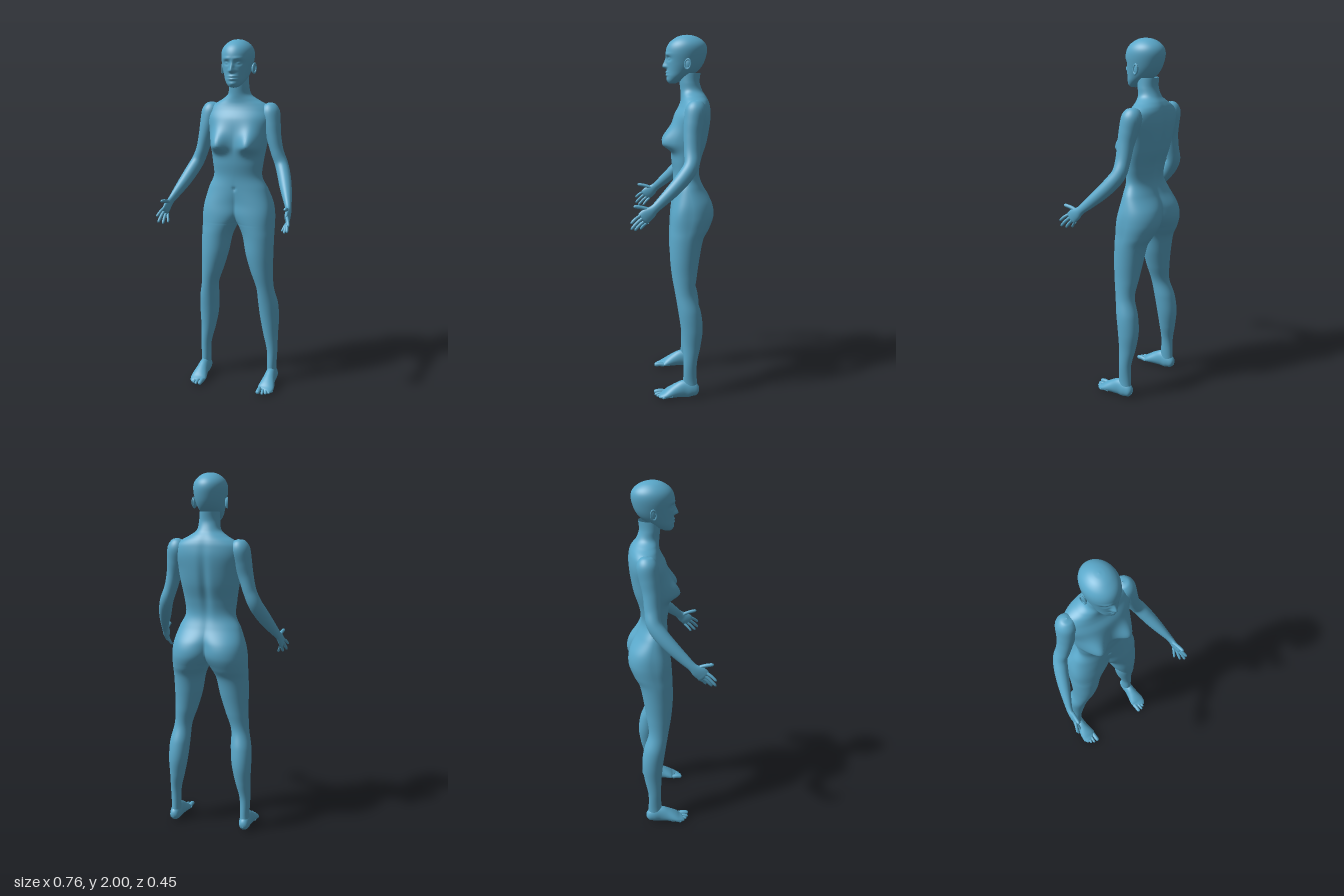
import * as THREE from 'three';

const skin = new THREE.MeshStandardMaterial({ color: 0x5aa8ca, side: THREE.DoubleSide });
skin.name = 'blue skin';

const gauss = (d, w) => Math.exp(-(d / w) * (d / w));

// Smoothly fill in cross-sections (arrays of equal length) between the given ones
function refine(sections, steps) {
  const out = [], last = sections.length - 1;
  for (let i = 0; i < last; i++) {
    const p0 = sections[Math.max(0, i - 1)], p1 = sections[i];
    const p2 = sections[i + 1], p3 = sections[Math.min(last, i + 2)];
    for (let k = 0; k < steps; k++) {
      const t = k / steps;
      out.push(p1.map((b, n) => {
        const a = p0[n], c = p2[n], d = p3[n];
        return b + 0.5 * t * (c - a + t * (2 * a - 5 * b + 4 * c - d + t * (3 * (b - c) + d - a)));
      }));
    }
  }
  out.push(sections[last]);
  return out;
}

function makeGeometry(pos, index) {
  const g = new THREE.BufferGeometry();
  g.setAttribute('position', new THREE.Float32BufferAttribute(pos, 3));
  g.setIndex(index);
  g.computeVertexNormals();
  return g;
}

// Left half of a symmetric form. Sections: [y, centre x, half width, front z, back z].
// Ellipses that cross x = 0 are cut there, so the mirrored halves join without a seam.
function halfShell(sections, steps, seg, rule) {
  const rings = refine(sections, steps), pos = [], index = [], v = new THREE.Vector3();
  rings.forEach(([y, cx, a, zf, zb], i) => {
    a = Math.max(a, 0.0005);
    const end = Math.acos(Math.max(-1, Math.min(0, -cx / a)));
    for (let j = 0; j <= seg; j++) {
      const th = end * (2 * j / seg - 1), s = Math.sin(th);
      // flatter front over the pelvis
      const f = s > 0 ? Math.pow(s, 1 - 0.45 * gauss(y - 1.05, 0.11)) : s;
      v.set(Math.max(0, cx + a * Math.cos(th)), y, (zf + zb) / 2 + f * (zf - zb) / 2);
      if (end < Math.PI && (j === 0 || j === seg)) v.x = 0;
      rule(v, s);
      pos.push(v.x, v.y, v.z);
      if (i < rings.length - 1 && j < seg) {
        const A = i * (seg + 1) + j, C = A + seg + 1;
        index.push(A, C, A + 1, A + 1, C, C + 1);
      }
    }
  });
  const g = makeGeometry(pos, index), n = g.attributes.normal, w = new THREE.Vector3();
  // Match normals along the joins
  for (let i = 0; i < rings.length; i++) {
    const A = i * (seg + 1), B = A + seg;
    v.fromBufferAttribute(n, A);
    w.fromBufferAttribute(n, B);
    if (pos[A * 3] < 1e-4) { v.x = w.x = 0; v.normalize(); w.normalize(); }
    else { v.add(w).normalize(); w.copy(v); }
    n.setXYZ(A, v.x, v.y, v.z);
    n.setXYZ(B, w.x, w.y, w.z);
  }
  return g;
}

// Limb along a path. Sections: [x, y, z, sideways radius, other radius]
function limb(sections, steps = 6, seg = 24) {
  const rings = refine(sections, steps), pos = [], index = [];
  const T = new THREE.Vector3(), U = new THREE.Vector3(), W = new THREE.Vector3();
  rings.forEach(([x, y, z, a, b], i) => {
    const p = rings[Math.max(0, i - 1)], q = rings[Math.min(rings.length - 1, i + 1)];
    T.set(q[0] - p[0], q[1] - p[1], q[2] - p[2]).normalize();
    U.set(1, 0, 0).addScaledVector(T, -T.x).normalize();
    W.crossVectors(T, U);
    for (let j = 0; j < seg; j++) {
      const th = 2 * Math.PI * j / seg;
      const c = Math.max(a, 0.0004) * Math.cos(th), s = Math.max(b, 0.0004) * Math.sin(th);
      pos.push(x + U.x * c + W.x * s, Math.max(0, y + U.y * c + W.y * s), z + U.z * c + W.z * s);
      if (i < rings.length - 1) {
        const A = i * seg + j, B = i * seg + (j + 1) % seg;
        index.push(A, B, A + seg, B, B + seg, A + seg);
      }
    }
  });
  return makeGeometry(pos, index);
}

// Finger or toe with a round tip and a slight arch
function digit(base, tip, r, arch) {
  return limb([[0, 1], [0.45, 0.95], [0.8, 0.9], [0.94, 0.65], [1, 0.02]].map(([t, k]) => {
    const p = base.map((b, n) => b + (tip[n] - b) * t);
    return [p[0], p[1] + arch * Math.sin(Math.PI * t), p[2], r * k, r * k];
  }), 4, 14);
}

function mirrored(geometry) {
  const g = geometry.clone(), ix = g.index, n = g.attributes.normal, p = g.attributes.position;
  for (let i = 0; i < p.count; i++) { p.setX(i, -p.getX(i)); n.setX(i, -n.getX(i)); }
  for (let i = 0; i < ix.count; i += 3) {
    const t = ix.getX(i);
    ix.setX(i, ix.getX(i + 1));
    ix.setX(i + 1, t);
  }
  return g;
}

export function createModel() {
  const model = new THREE.Group();
  model.name = 'standing figure';
  const pair = (name, geometry) => {
    [['left', geometry], ['right', mirrored(geometry)]].forEach(([side, g]) => {
      const mesh = new THREE.Mesh(g, skin);
      mesh.name = `${side} ${name}`;
      model.add(mesh);
    });
  };

  // Leg, hip, trunk and neck in one sweep, with bust and spine groove
  pair('leg and trunk', halfShell([
    [0.04, 0.212, 0.03, -0.055, -0.135], [0.1, 0.21, 0.027, -0.053, -0.13],
    [0.2, 0.21, 0.031, -0.055, -0.13], [0.3, 0.198, 0.043, -0.05, -0.15],
    [0.4, 0.19, 0.055, -0.04, -0.162], [0.5, 0.183, 0.058, -0.025, -0.15],
    [0.6, 0.17, 0.051, -0.008, -0.12], [0.7, 0.15, 0.065, 0.01, -0.13],
    [0.8, 0.135, 0.08, 0.02, -0.145], [0.9, 0.125, 0.09, 0.02, -0.165],
    [0.96, 0.111, 0.102, 0.018, -0.197], [1.03, 0.09, 0.12, 0.014, -0.222],
    [1.1, 0.073, 0.127, 0.005, -0.212], [1.18, 0.03, 0.145, 0, -0.168],
    [1.25, 0, 0.143, 0, -0.147], [1.33, 0, 0.149, 0.01, -0.157],
    [1.42, 0, 0.163, 0.013, -0.185], [1.5, 0, 0.175, 0.008, -0.2],
    [1.57, 0, 0.19, -0.005, -0.207], [1.62, 0, 0.18, -0.03, -0.203],
    [1.65, 0, 0.15, -0.04, -0.195], [1.675, 0, 0.105, -0.042, -0.182],
    [1.705, 0, 0.066, -0.04, -0.162], [1.75, 0, 0.057, -0.035, -0.146],
    [1.8, 0, 0.053, -0.03, -0.15],
  ], 9, 56, (v, s) => {
    if (s > 0) {
      const dy = v.y - 1.425;
      const bust = gauss(v.x - 0.093, 0.054) * gauss(dy, dy > 0 ? 0.08 : 0.037) * Math.min(1, s * 2);
      v.z += 0.066 * bust;
      v.z -= 0.008 * gauss(v.x, 0.008) * gauss(v.y - 1.18, 0.01);
    } else {
      v.z += 0.012 * gauss(v.x, 0.025) * gauss(v.y - 1.42, 0.2);
    }
  }));

  // Head with brow, eye sockets, nose, lips and chin
  pair('head', halfShell([
    [1.742, 0, 0.002, 0.012, -0.01], [1.746, 0, 0.022, 0.024, -0.02],
    [1.757, 0, 0.038, 0.03, -0.045], [1.78, 0, 0.055, 0.034, -0.088],
    [1.81, 0, 0.068, 0.034, -0.135], [1.85, 0, 0.08, 0.035, -0.165],
    [1.9, 0, 0.089, 0.04, -0.182], [1.935, 0, 0.088, 0.034, -0.183],
    [1.962, 0, 0.076, 0.017, -0.169], [1.984, 0, 0.053, -0.012, -0.14],
    [1.996, 0, 0.027, -0.042, -0.108], [2, 0, 0.001, -0.074, -0.076],
  ], 12, 72, (v, s) => {
    if (s <= 0) return;
    const { x, y } = v, dn = y - 1.832;
    const nose = gauss(x, 0.010 + 0.006 * gauss(dn, 0.012)) * gauss(dn, dn > 0 ? 0.034 : 0.009);
    const lips = gauss(x, 0.022) * (gauss(y - 1.803, 0.006) + gauss(y - 1.788, 0.006));
    const socket = gauss(x - 0.034, 0.019) * gauss(y - 1.874, 0.012);
    const eye = gauss(x - 0.035, 0.011) * gauss(y - 1.873, 0.006);
    const brow = gauss(x - 0.032, 0.025) * gauss(y - 1.897, 0.009);
    const chin = gauss(x, 0.022) * gauss(y - 1.763, 0.01);
    v.z += 0.024 * nose + 0.007 * lips - 0.012 * socket + 0.008 * eye + 0.004 * brow + 0.005 * chin;
  }));

  // Ears: a flat lobe with a raised rim
  const place = (g) => g.rotateX(-0.15).rotateY(-0.3).translate(0.087, 1.845, -0.077);
  pair('ear', place(new THREE.SphereGeometry(1, 16, 12).scale(0.007, 0.027, 0.017)));
  pair('ear rim', place(new THREE.TorusGeometry(0.016, 0.004, 8, 24).rotateY(Math.PI / 2)
    .scale(1, 1.55, 1).translate(0.006, 0, 0)));

  // Arm from the shoulder to the palm
  pair('arm', limb([
    [0.165, 1.66, -0.12, 0.002, 0.002], [0.167, 1.648, -0.12, 0.034, 0.036],
    [0.174, 1.608, -0.116, 0.054, 0.056], [0.187, 1.54, -0.105, 0.05, 0.053],
    [0.203, 1.47, -0.097, 0.041, 0.046], [0.224, 1.39, -0.095, 0.036, 0.042],
    [0.25, 1.325, -0.09, 0.037, 0.04], [0.274, 1.27, -0.055, 0.037, 0.04],
    [0.3, 1.21, 0, 0.033, 0.036], [0.325, 1.155, 0.058, 0.024, 0.029],
    [0.342, 1.117, 0.1, 0.017, 0.024], [0.348, 1.095, 0.125, 0.015, 0.032],
    [0.35, 1.078, 0.148, 0.014, 0.036], [0.352, 1.063, 0.163, 0.011, 0.032],
    [0.353, 1.057, 0.169, 0.002, 0.008],
  ], 7, 32));

  // Fingers
  [
    ['index finger', [0.354, 1.083, 0.175], [0.376, 1.043, 0.225], 0.0085],
    ['middle finger', [0.354, 1.07, 0.163], [0.368, 1.01, 0.225], 0.009],
    ['ring finger', [0.351, 1.056, 0.15], [0.348, 1, 0.207], 0.0085],
    ['little finger', [0.347, 1.045, 0.138], [0.328, 1.003, 0.178], 0.0075],
    ['thumb', [0.343, 1.108, 0.122], [0.352, 1.13, 0.212], 0.0105],
  ].forEach(([name, base, tip, r]) => pair(name, digit(base, tip, r, 0.004)));

  // Foot from heel to ball, flat underneath
  pair('foot', limb([
    [0.213, 0.03, -0.142, 0.002, 0.002], [0.213, 0.034, -0.132, 0.023, 0.027],
    [0.212, 0.046, -0.1, 0.032, 0.047], [0.212, 0.049, -0.06, 0.032, 0.051],
    [0.212, 0.04, -0.02, 0.037, 0.042], [0.212, 0.028, 0.02, 0.045, 0.03],
    [0.211, 0.018, 0.048, 0.047, 0.02], [0.205, 0.013, 0.068, 0.039, 0.013],
    [0.2, 0.012, 0.076, 0.01, 0.003],
  ], 6, 32));

  // Toes
  [
    [0.18, 0.18, 0.113, 0.0135], [0.202, 0.206, 0.11, 0.0095], [0.218, 0.225, 0.1, 0.009],
    [0.232, 0.241, 0.085, 0.0085], [0.245, 0.253, 0.066, 0.008],
  ].forEach(([x0, x1, z, r], i) =>
    pair(`toe ${i + 1}`, digit([x0, 0.016, z - 0.06], [x1, r, z], r, 0.004)));

  return model;
}
